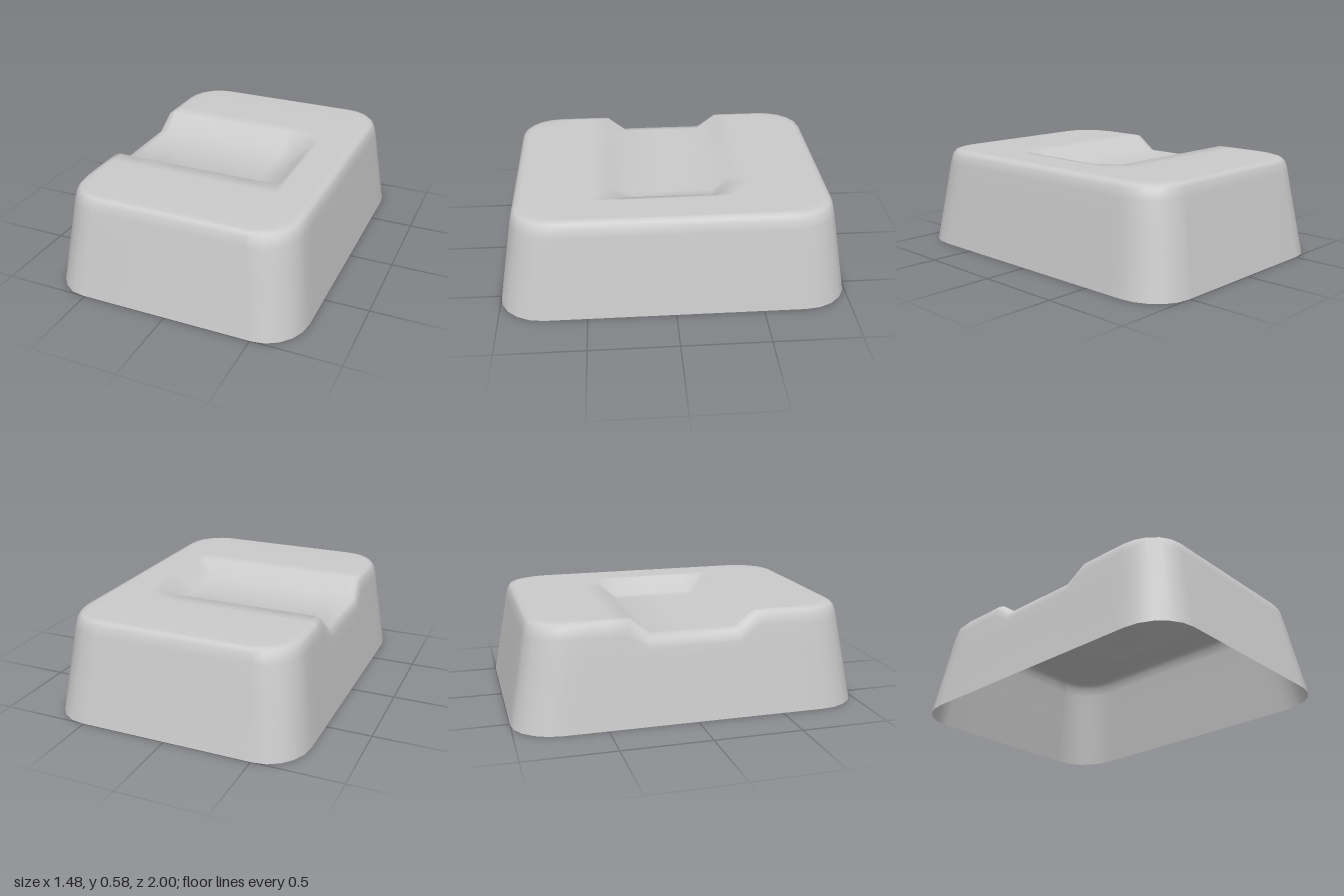
import * as THREE from 'three';

const X = 0.615, Z = 0.855, RX = 0.19, RZ = 0.22, TOP = 0.58;
const clamp01 = (v) => Math.min(1, Math.max(0, v));

// Depth of the trough that opens through the -x side
const dip = (x, z) => 0.09 * Math.min(clamp01((0.35 - Math.abs(z)) / 0.11), clamp01((0.4 - x) / 0.11));

// Half length of the top at x, following the rounded corners
function halfLength(x) {
  const t = clamp01((Math.abs(x) - (X - RX)) / RX);
  return Z - RZ * (1 - Math.sqrt(1 - t * t));
}

function shellGeometry() {
  const arc = [1, 2, 3, 4, 5].map((k) => X - RX + RX * Math.sin((k / 5) * Math.PI / 2));
  const xs = [...arc.map((v) => -v).reverse(), -X + RX, -0.2, 0, 0.2, 0.29, 0.4, X - RX, ...arc];
  const zs = [-Z, -0.65, -0.45, -0.35, -0.24, 0, 0.24, 0.35, 0.45, 0.65, Z];
  const pos = [], index = [], nz = zs.length, nx = xs.length;

  // Top: a grid whose ends shrink into the rounded corners
  for (const x of xs) {
    for (const zl of zs) {
      const over = Math.max(0, Math.abs(zl) - 0.45);
      const z = Math.sign(zl) * (Math.abs(zl) - over + over * (halfLength(x) - 0.45) / (Z - 0.45));
      pos.push(x, TOP - dip(x, z), z);
    }
  }
  const id = (i, j) => i * nz + j;
  for (let i = 0; i < nx - 1; i++) {
    for (let j = 0; j < nz - 1; j++) {
      const a = id(i, j), b = id(i, j + 1), c = id(i + 1, j + 1), d = id(i + 1, j);
      index.push(a, b, c, a, c, d);
    }
  }

  // Rim of the top as a closed loop
  const rim = [];
  for (let j = 0; j < nz - 1; j++) rim.push(id(0, j));
  for (let i = 0; i < nx - 1; i++) rim.push(id(i, nz - 1));
  for (let j = nz - 1; j > 0; j--) rim.push(id(nx - 1, j));
  for (let i = nx - 1; i > 0; i--) rim.push(id(i, 0));

  // Rounded edge and tapered walls: half width, half length, height, share of the trough depth
  const rings = [
    [0.643, 0.882, 0.571, 1], [0.66, 0.898, 0.55, 1], [0.672, 0.91, 0.5, 0.85],
    [0.69, 0.935, 0.36, 0], [0.74, 1, 0, 0],
  ];
  let upper = rim;
  for (const [hx, hz, y, share] of rings) {
    const lower = rim.map((v) => {
      const x = pos[v * 3], z = pos[v * 3 + 2], drop = dip(x, z) * share;
      pos.push(x * hx / X - drop * 0.13, y - drop, z * hz / Z);
      return pos.length / 3 - 1;
    });
    upper.forEach((p, k) => {
      const n = (k + 1) % rim.length;
      index.push(p, lower[k], upper[n], upper[n], lower[k], lower[n]);
    });
    upper = lower;
  }

  const geometry = new THREE.BufferGeometry();
  geometry.setAttribute('position', new THREE.Float32BufferAttribute(pos, 3));
  geometry.setIndex(index);
  geometry.computeVertexNormals();
  return geometry;
}

export function createModel() {
  const group = new THREE.Group();
  group.name = 'hollowBlock';
  const shell = new THREE.Mesh(
    shellGeometry(),
    new THREE.MeshStandardMaterial({ color: 0xcccccc, side: THREE.DoubleSide })
  );
  shell.name = 'shell';
  group.add(shell);
  return group;
}
